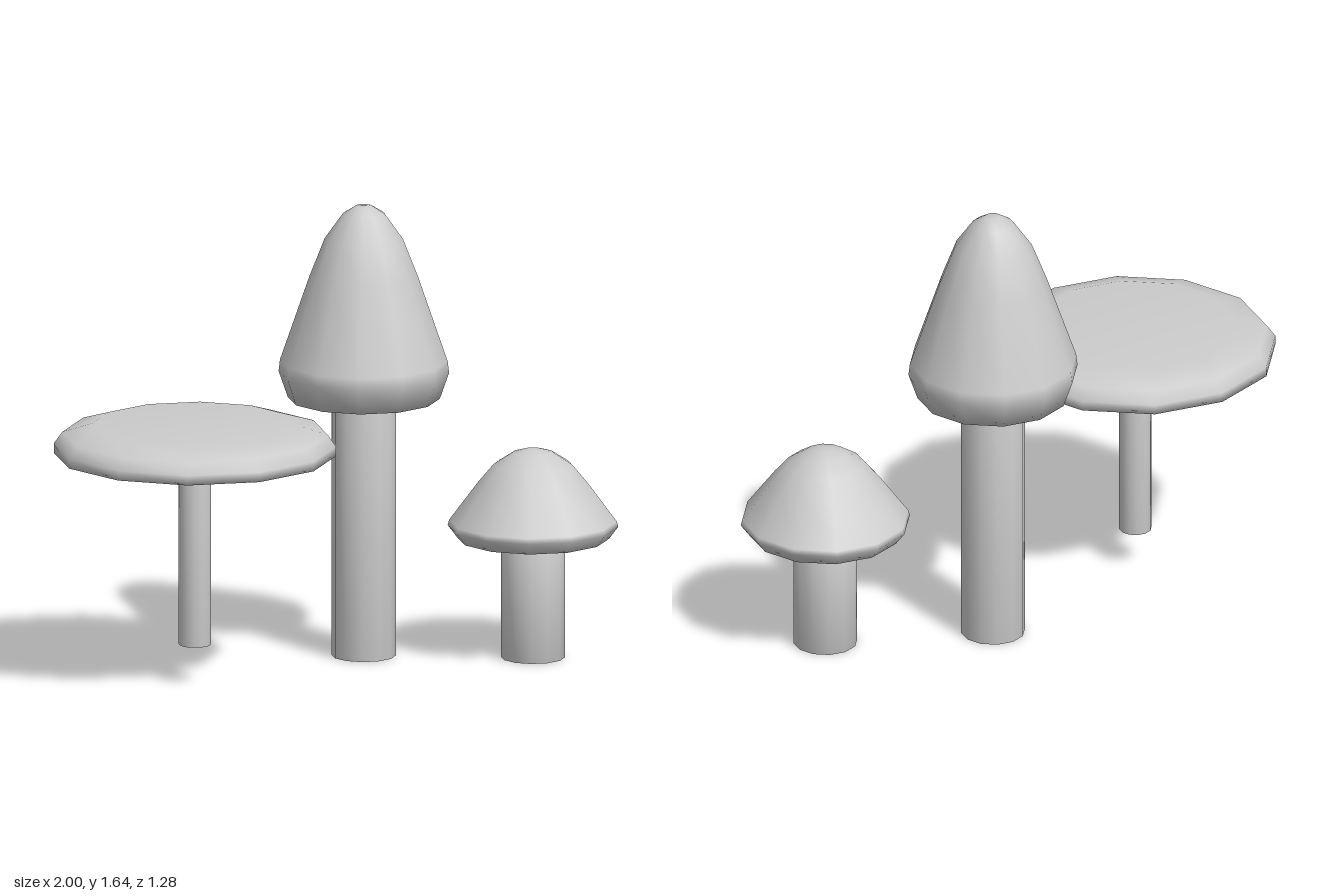
import * as THREE from 'three';

const SIDES = 12;

// Solid of revolution from [radius, height] pairs, listed bottom to top
function turned(name, profile, material) {
  const points = profile.map(([r, y]) => new THREE.Vector2(r, y));
  const mesh = new THREE.Mesh(new THREE.LatheGeometry(points, SIDES), material);
  mesh.name = name;
  return mesh;
}

// Bell cap: radius and relative height above the cap's lower edge
const bell = [
  [0, 0], [0.272, 0], [0.305, 0.135], [0.3, 0.195], [0.195, 0.63],
  [0.14, 0.83], [0.075, 0.96], [0.03, 1], [0, 1],
];
const bellCap = (base, height) => bell.map(([r, t]) => [r, base + t * height]);

// Broad, nearly flat cap
const flatCap = [
  [0, 0.835], [0.505, 0.835], [0.505, 0.87], [0.475, 0.912], [0.365, 0.946], [0, 0.946],
];

const mushrooms = [
  { name: 'tallMushroom', x: 0.085, z: -0.34, stem: [0.115, 0, 0.95], cap: bellCap(0.942, 0.703) },
  { name: 'smallMushroom', x: 0.69, z: -0.34, stem: [0.115, 0, 0.45], cap: bellCap(0.436, 0.325) },
  { name: 'flatMushroom', x: -0.495, z: 0.135, stem: [0.058, 0.14, 0.85], cap: flatCap },
];

export function createModel() {
  const model = new THREE.Group();
  model.name = 'mushroomCluster';
  const material = new THREE.MeshStandardMaterial({ color: 0xcccccc });

  for (const { name, x, z, stem: [r, bottom, top], cap } of mushrooms) {
    const mushroom = new THREE.Group();
    mushroom.name = name;
    mushroom.position.set(x, 0, z);
    mushroom.add(
      turned('stem', [[0, bottom], [r, bottom], [r, top], [0, top]], material),
      turned('cap', cap, material),
    );
    model.add(mushroom);
  }
  return model;
}
